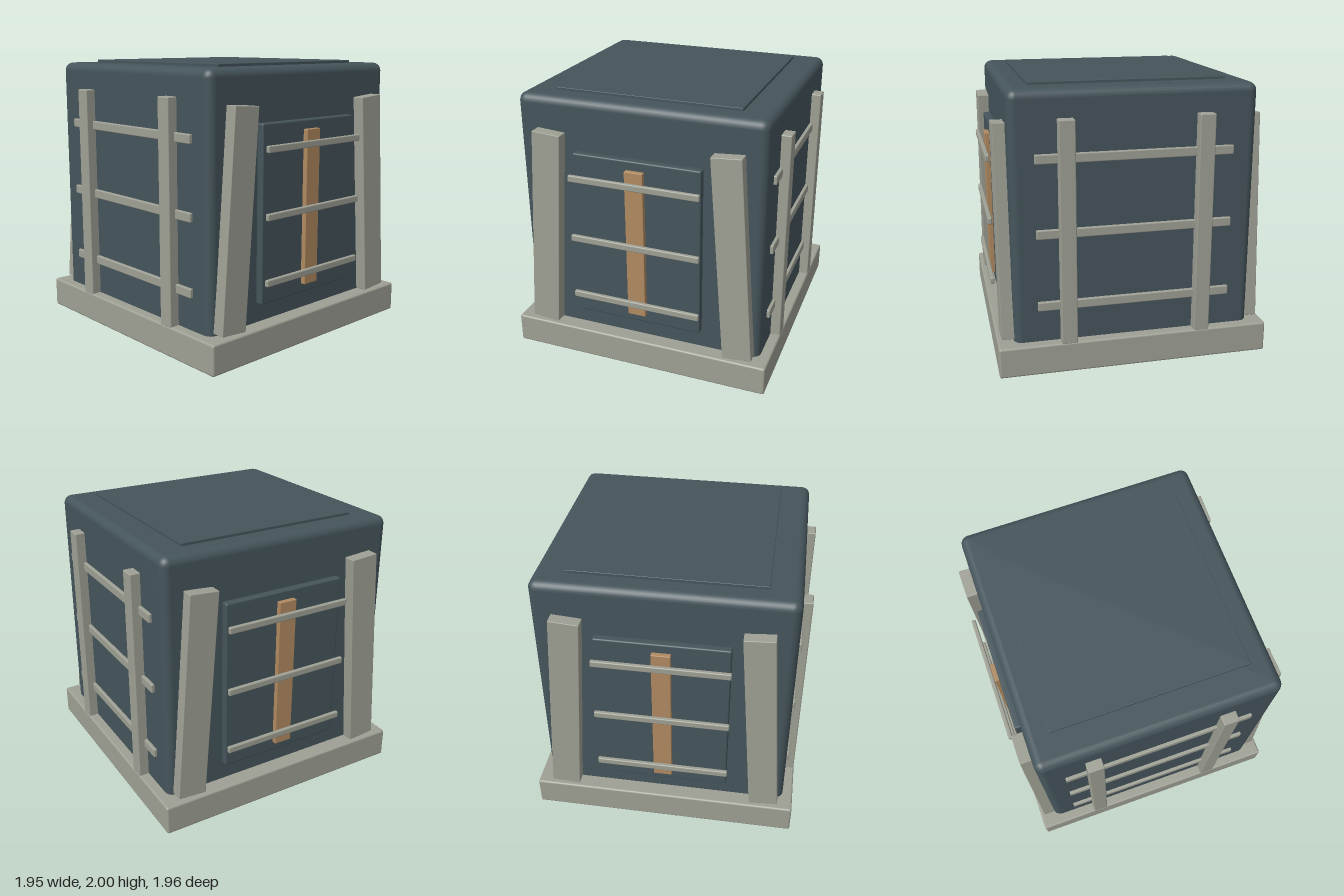
import * as THREE from 'three';
import { RoundedBoxGeometry } from 'three/addons/geometries/RoundedBoxGeometry.js';

function material(name, color) {
  const m = new THREE.MeshStandardMaterial({ color });
  m.name = name;
  return m;
}

// Rounded box given by its size and centre
function block(parent, name, mat, [w, h, d], [x, y, z], radius = 0.008) {
  const mesh = new THREE.Mesh(new RoundedBoxGeometry(w, h, d, 3, radius), mat);
  mesh.name = name;
  mesh.position.set(x, y, z);
  parent.add(mesh);
  return mesh;
}

export function createModel() {
  const model = new THREE.Group();
  model.name = 'crate';

  const slate = material('dark slate', 0x45555b);
  const stone = material('pale grey', 0x9ea094);
  const copper = material('copper tan', 0xb08a60);

  // Plinth, body and raised lid plate
  block(model, 'base', stone, [1.95, 0.22, 1.95], [0, 0.11, 0], 0.015);
  block(model, 'body', slate, [1.8, 1.96, 1.72], [0, 1, 0], 0.06);
  block(model, 'lidPlate', slate, [1.36, 0.04, 1.4], [0, 1.98, 0], 0.004);

  // Front and back: door panel, strip, bars and two leaning braces
  for (const [name, turn] of [['frontFace', 0], ['backFace', Math.PI]]) {
    const face = new THREE.Group();
    face.name = name;
    face.rotation.y = turn;
    model.add(face);

    block(face, 'doorPanel', slate, [0.94, 1.255, 0.06], [0, 0.983, 0.88], 0.012);
    block(face, 'doorStrip', copper, [0.135, 1.12, 0.04], [0, 0.985, 0.925], 0.005);
    for (const y of [0.525, 0.985, 1.445]) {
      block(face, 'doorBar', stone, [0.96, 0.048, 0.03], [0, y, 0.963]);
    }
    for (const side of [-1, 1]) {
      const brace = block(face, 'cornerBrace', stone, [0.213, 1.515, 0.1], [side * 0.702, 0.985, 0.895], 0.005);
      brace.rotation.z = side * 0.074;
    }
  }

  // Left and right: upright posts and horizontal rails
  for (const [name, side] of [['leftSide', 1], ['rightSide', -1]]) {
    const wall = new THREE.Group();
    wall.name = name;
    model.add(wall);

    for (const z of [-0.48, 0.48]) {
      block(wall, 'sidePost', stone, [0.09, 1.58, 0.112], [side * 0.927, 1, z]);
    }
    for (const y of [0.485, 1.005, 1.525]) {
      block(wall, 'sideRail', stone, [0.05, 0.065, 1.38], [side * 0.898, y, 0]);
    }
  }

  return model;
}
